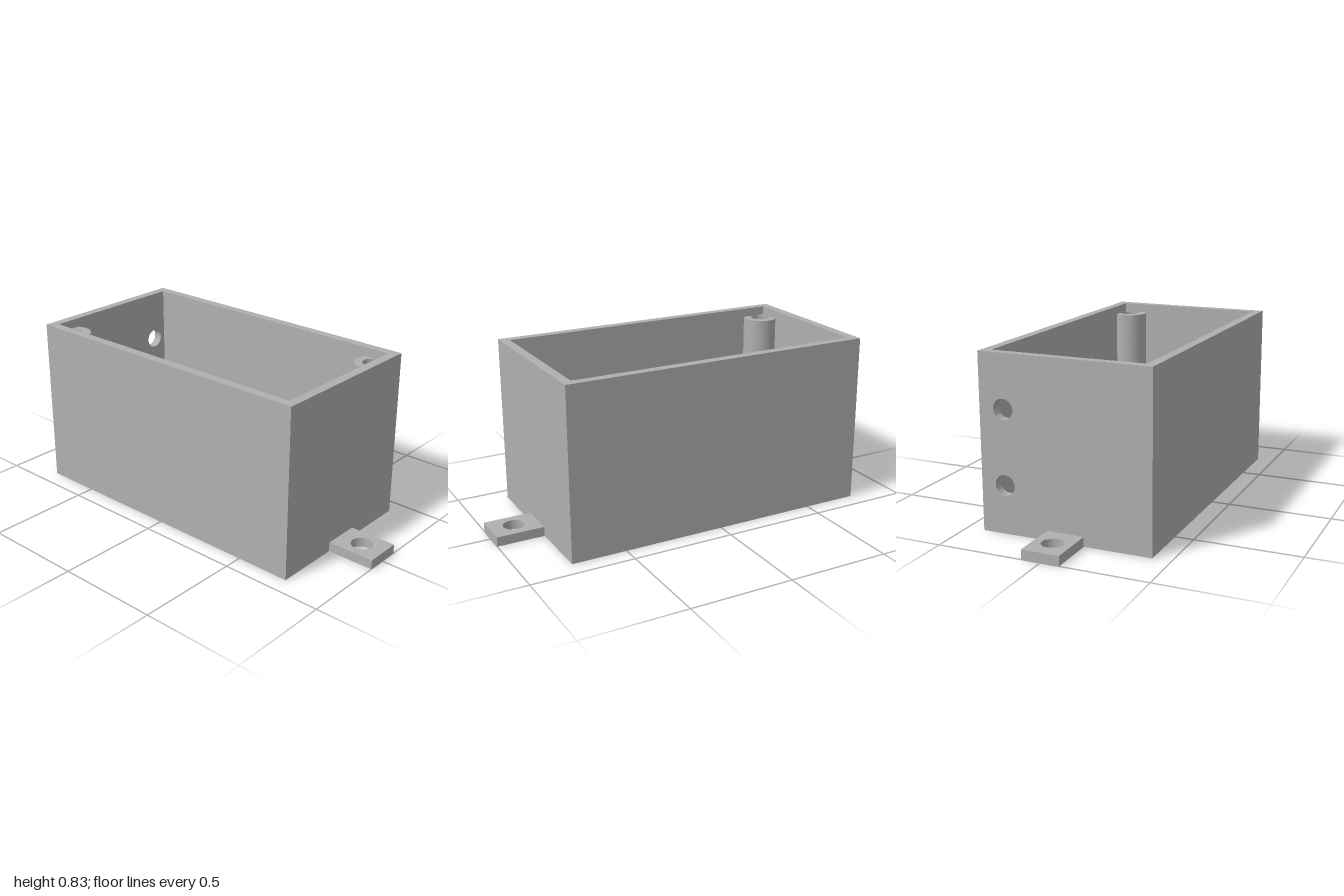
import * as THREE from 'three';
import { toCreasedNormals } from 'three/addons/utils/BufferGeometryUtils.js';

const W = 0.768, D = 0.413, H = 0.83; // half width, half depth, height
const T = 0.044;                      // wall thickness
const IW = W - T, ID = D - T;         // inner half sizes

function plate(points, holes, depth) {
  const shape = new THREE.Shape(points.map(([x, y]) => new THREE.Vector2(x, y)));
  for (const [x, y, r] of holes) {
    shape.holes.push(new THREE.Path().absarc(x, y, r, 0, Math.PI * 2, true));
  }
  const g = new THREE.ExtrudeGeometry(shape, { depth, bevelEnabled: false, curveSegments: 32 });
  return toCreasedNormals(g, 0.6);
}

const rect = (x0, y0, x1, y1) => [[x0, y0], [x1, y0], [x1, y1], [x0, y1]];

export function createModel() {
  const group = new THREE.Group();
  const grey = new THREE.MeshStandardMaterial({ color: 0xb0b0b0 });
  grey.name = 'grey plastic';

  const add = (name, geometry, x = 0, y = 0, z = 0) => {
    const mesh = new THREE.Mesh(geometry, grey);
    mesh.name = name;
    mesh.position.set(x, y, z);
    group.add(mesh);
  };

  // Front, back and left-hand walls as one U-shaped extrusion
  const u = [[-IW, -D], [W, -D], [W, D], [-IW, D], [-IW, ID], [IW, ID], [IW, -ID], [-IW, -ID]];
  add('walls', plate(u, [], H).rotateX(-Math.PI / 2));

  // End wall with two cable holes
  const holes = [[-0.295, 0.578, 0.048], [-0.295, 0.229, 0.048]];
  add('drilledEndWall', plate(rect(-D, 0, D, H), holes, T).rotateY(-Math.PI / 2), -IW);

  // Floor and the low raised strip along the front
  add('floor', new THREE.BoxGeometry(IW * 2, T, ID * 2), 0, T / 2, 0);
  const stepDepth = ID - 0.135;
  add('floorStep', new THREE.BoxGeometry(IW * 2, T, stepDepth), 0, T * 1.5, ID - stepDepth / 2);

  // Screw posts with blind holes in two opposite corners, set into the walls
  const top = H - T, R = 0.088, r = 0.049, bottom = top - 0.35;
  const profile = [[R, T], [R, top], [r, top], [r, bottom], [0, bottom]];
  const post = toCreasedNormals(
    new THREE.LatheGeometry(profile.map(([x, y]) => new THREE.Vector2(x, y)), 40), 0.6);
  for (const s of [1, -1]) add('screwPost', post, s * 0.675, 0, s * -0.322);

  // Mounting tabs with screw holes
  for (const s of [1, -1]) {
    const outline = s > 0 ? rect(W, -0.09, 1, 0.09) : rect(-1, -0.09, -W, 0.09);
    add('mountingTab', plate(outline, [[s * 0.885, 0, 0.051]], 0.046).rotateX(-Math.PI / 2));
  }
  return group;
}
